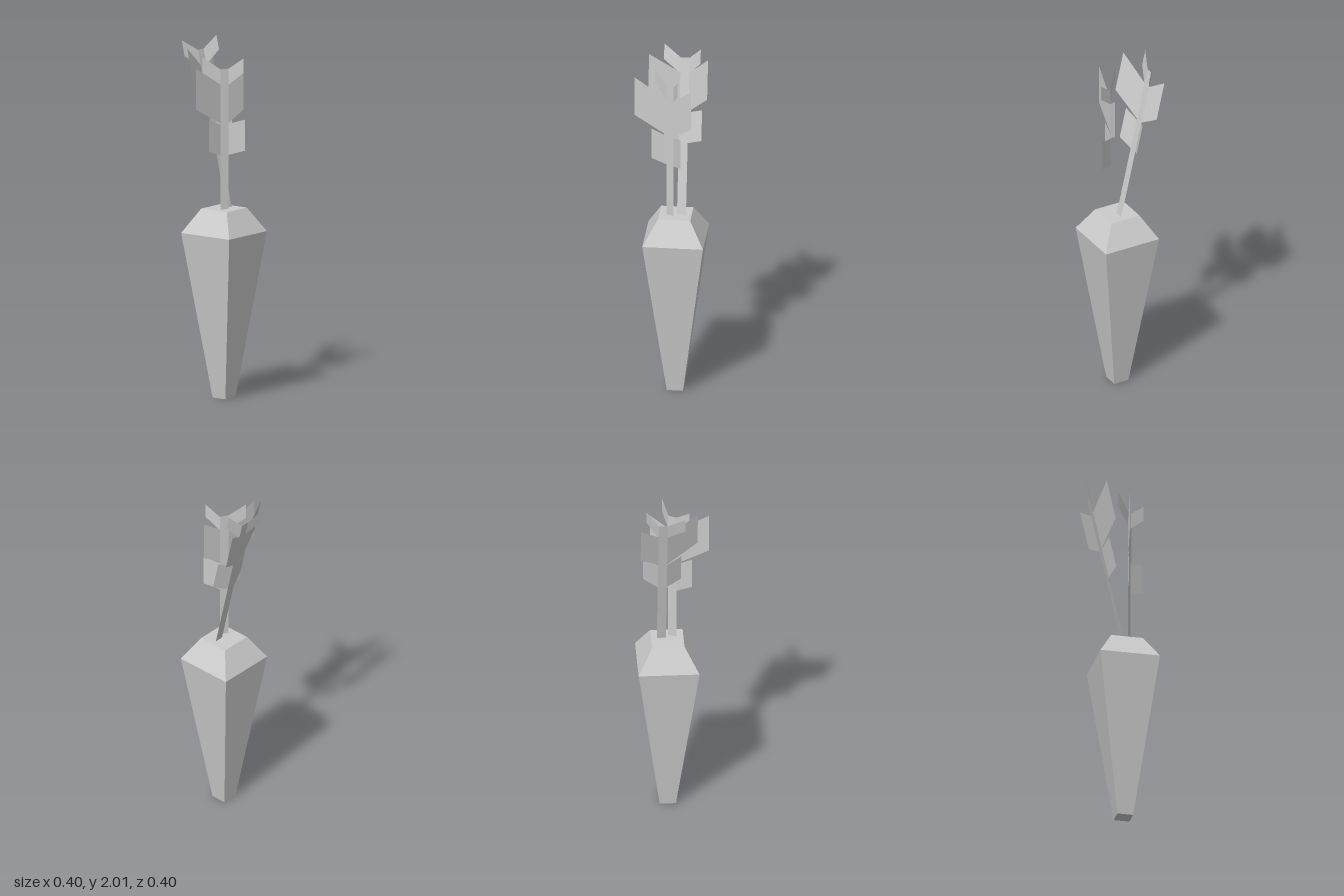
import * as THREE from 'three';

const rootMat = new THREE.MeshStandardMaterial({ color: 0xcccccc, flatShading: true });
const leafMat = new THREE.MeshStandardMaterial({ color: 0xcccccc, flatShading: true, side: THREE.DoubleSide });
const STEM_HALF = 0.025;
const STEM_LENGTH = 0.89;

function mesh(name, geometry, material) {
  const m = new THREE.Mesh(geometry, material);
  m.name = name;
  return m;
}

// Square tapered block given by half widths and heights
function taper(name, topHalf, bottomHalf, y0, y1) {
  const g = new THREE.CylinderGeometry(topHalf * Math.SQRT2, bottomHalf * Math.SQRT2, y1 - y0, 4, 1);
  g.rotateY(Math.PI / 4);
  g.translate(0, (y0 + y1) / 2, 0);
  return mesh(name, g, rootMat);
}

// Flat four-cornered blade
function quad(name, a, b, c, d) {
  const g = new THREE.BufferGeometry();
  g.setAttribute('position', new THREE.Float32BufferAttribute([...a, ...b, ...c, ...d], 3));
  g.setIndex([0, 1, 2, 0, 2, 3]);
  g.computeVertexNormals();
  return mesh(name, g, leafMat);
}

// Leaf pairs: inner edge heights, then each side's outer edge as [dx, dz, bottom, top]
const leafPairs = [
  { name: 'lowerLeaf', inner: [0.405, 0.58], left: [0.08, 0.044, 0.43, 0.605], right: [-0.08, 0.032, 0.435, 0.615] },
  { name: 'largeLeaf', inner: [0.585, 0.805], left: [0.1, -0.025, 0.65, 0.875], right: [-0.17, 0.064, 0.685, 0.915] },
  { name: 'topLeaf', inner: [0.8, 0.89], left: [0.066, 0.054, 0.87, 0.952], right: [-0.095, -0.025, 0.87, 0.96] },
];

// One stem with three pairs of angled leaves
function createSprig(name) {
  const sprig = new THREE.Group();
  sprig.name = name;
  const s = STEM_HALF;
  sprig.add(quad('stem', [-s, 0, 0], [s, 0, 0], [s, STEM_LENGTH, 0], [-s, STEM_LENGTH, 0]));
  for (const pair of leafPairs) {
    for (const side of ['left', 'right']) {
      const [dx, dz, bottom, top] = pair[side];
      const x = Math.sign(dx) * s;
      const [low, high] = pair.inner;
      sprig.add(quad(`${pair.name}_${side}`,
        [x, low, 0], [x + dx, bottom, dz], [x + dx, top, dz], [x, high, 0]));
    }
  }
  return sprig;
}

export function createModel() {
  const model = new THREE.Group();
  model.name = 'rootVegetable';

  // Tapered root with a bevelled shoulder
  const root = new THREE.Group();
  root.name = 'root';
  root.add(taper('rootBody', 0.169, 0.045, 0, 0.93));
  root.add(taper('rootShoulder', 0.09, 0.169, 0.93, 1.065));
  root.position.set(0.029, 0, 0.03);
  model.add(root);

  // Upright sprig, turned and sunk into the root
  const frontSprig = createSprig('frontSprig');
  frontSprig.position.set(0, 0.965, 0.056);
  frontSprig.rotation.y = -Math.PI / 6;
  model.add(frontSprig);

  // Sprig leaning backwards
  const backSprig = createSprig('backSprig');
  backSprig.position.set(0.062, 1.065, 0.038);
  backSprig.rotation.x = -0.223;
  model.add(backSprig);

  return model;
}
